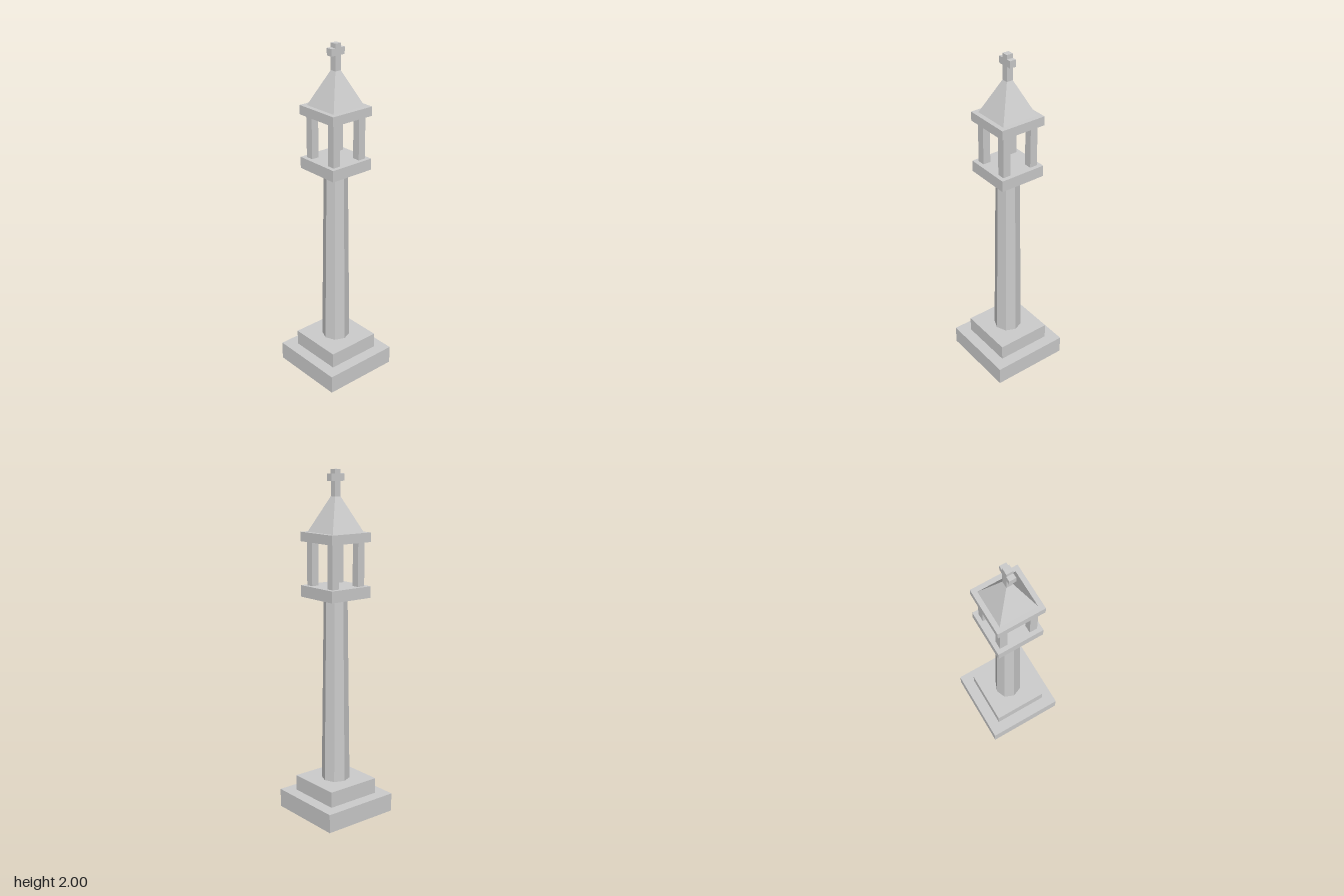
import * as THREE from 'three';

export function createModel() {
  const model = new THREE.Group();
  model.name = 'shrinePillar';
  const stone = new THREE.MeshStandardMaterial({ color: 0xcccccc });
  stone.name = 'paleStone';

  // Adds a faceted mesh under a plain name
  function add(name, geometry, x = 0, y = 0, z = 0, parent = model) {
    let flat = geometry;
    if (geometry.index) flat = geometry.toNonIndexed();
    flat.computeVertexNormals();
    const mesh = new THREE.Mesh(flat, stone);
    mesh.name = name;
    mesh.position.set(x, y, z);
    parent.add(mesh);
    return mesh;
  }

  // Box given by its half width and its bottom and top heights
  function block(name, half, y0, y1, x = 0, z = 0, parent = model) {
    return add(name, new THREE.BoxGeometry(half * 2, y1 - y0, half * 2), x, (y0 + y1) / 2, z, parent);
  }

  // Stepped base
  block('baseStep', 0.236, 0, 0.11);
  block('upperStep', 0.167, 0.11, 0.203);

  // Tapered eight-sided column, with a corner facing the front
  add('column', new THREE.CylinderGeometry(0.068, 0.083, 1.09, 8), 0, 0.747, 0);

  // Open lantern: two slabs joined by four corner posts
  block('lanternFloor', 0.139, 1.29, 1.356);
  const posts = new THREE.Group();
  posts.name = 'lanternPosts';
  model.add(posts);
  for (const sx of [-1, 1]) {
    for (const sz of [-1, 1]) block('lanternPost', 0.023, 1.356, 1.604, sx * 0.091, sz * 0.091, posts);
  }
  block('lanternCeiling', 0.139, 1.604, 1.657);

  // Four-sided roof, cut flat where the cross stands
  const roof = new THREE.CylinderGeometry(0.019 * Math.SQRT2, 0.111 * Math.SQRT2, 0.196, 4);
  roof.rotateY(Math.PI / 4);
  add('roof', roof, 0, 1.755, 0);

  // Cross
  const cross = new THREE.Group();
  cross.name = 'cross';
  model.add(cross);
  block('crossShaft', 0.019, 1.85, 2, 0, 0, cross);
  for (const s of [-1, 1]) {
    add('crossArm', new THREE.BoxGeometry(0.027, 0.04, 0.038), s * 0.0325, 1.956, 0, cross);
  }
  return model;
}
